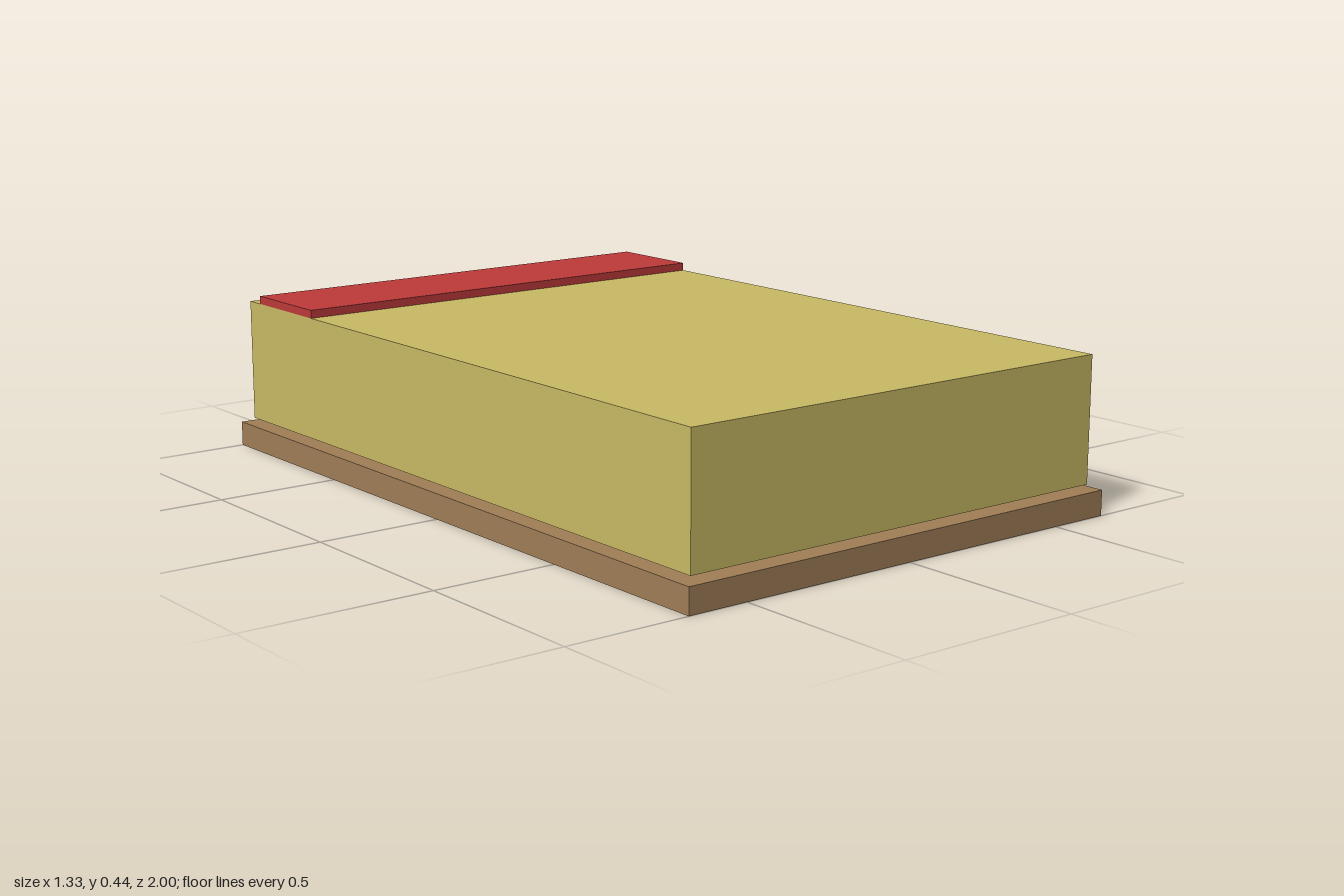
import * as THREE from 'three';

function material(name, color) {
  const m = new THREE.MeshStandardMaterial({ color });
  m.name = name;
  return m;
}

// Box given by its width, bottom and top heights, and back and front depths
function slab(name, mat, width, y0, y1, z0, z1) {
  const mesh = new THREE.Mesh(new THREE.BoxGeometry(width, y1 - y0, z1 - z0), mat);
  mesh.position.set(0, (y0 + y1) / 2, (z0 + z1) / 2);
  mesh.name = name;
  return mesh;
}

export function createModel() {
  const group = new THREE.Group();
  group.name = 'strappedBlock';

  const brown = material('wood brown', 0xa07e56);
  const straw = material('straw yellow', 0xc9ba64);
  const red = material('strap red', 0xbe3a3a);

  // Base board, with the block floating just above it
  group.add(slab('baseBoard', brown, 1.333, 0, 0.067, -1, 1));
  group.add(slab('block', straw, 1.28, 0.08, 0.413, -0.973, 0.973));

  // Raised band across the back of the top
  group.add(slab('topBand', red, 1.28, 0.413, 0.435, -0.917, -0.64));

  return group;
}
